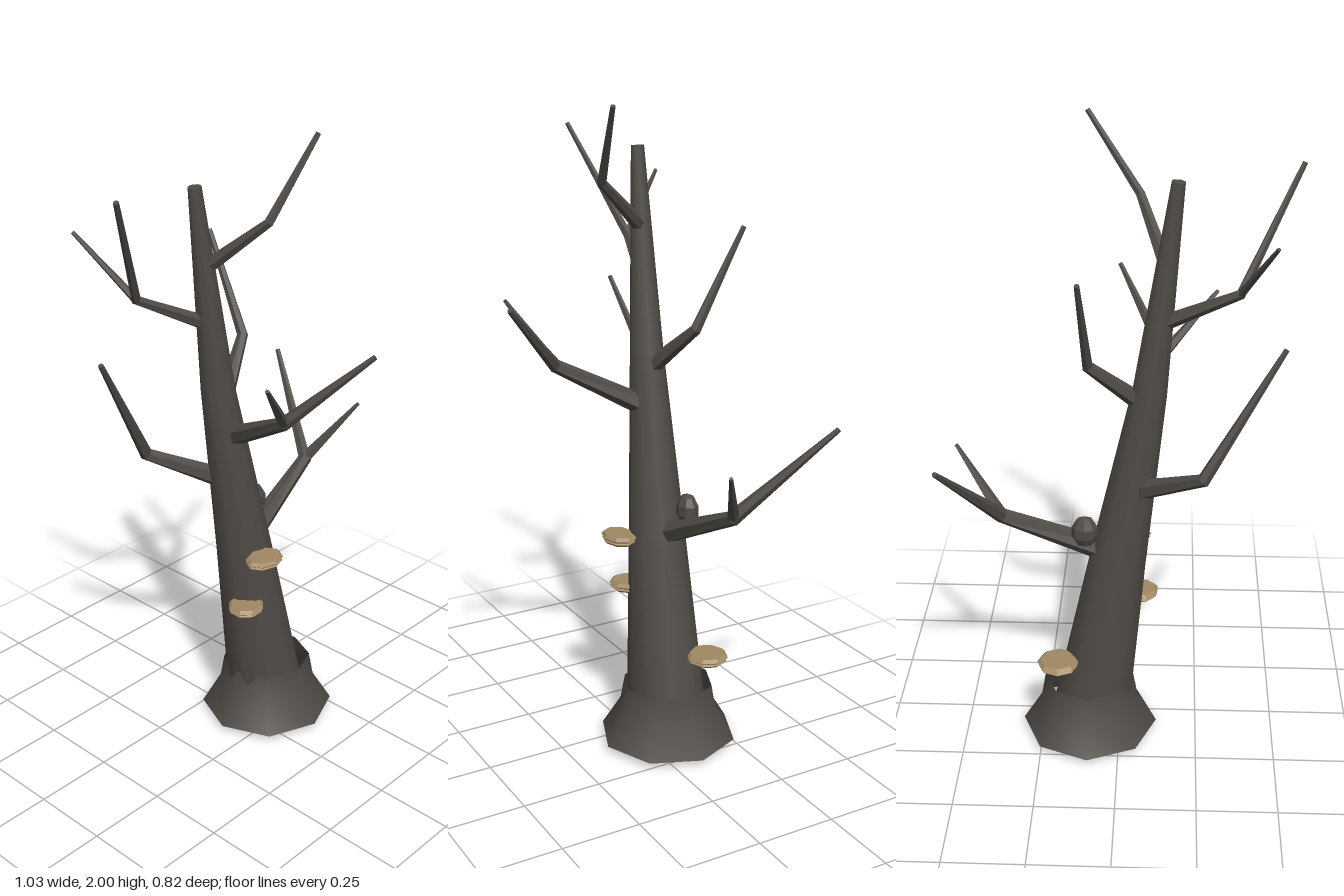
import * as THREE from 'three';

const bark = new THREE.MeshStandardMaterial({ color: 0x4f4b47, side: THREE.DoubleSide });
bark.name = 'bark';
const fungus = new THREE.MeshStandardMaterial({ color: 0xa08862 });
fungus.name = 'fungus';

const UP = new THREE.Vector3(0, 1, 0);

// Tapered limb swept along points, with a radius for each point
function limb(points, radii, sides, { flat = true, capStart = true } = {}) {
  const pts = points.map((p) => new THREE.Vector3(...p));
  const pos = [];
  const index = [];
  const last = pts.length - 1;
  pts.forEach((p, i) => {
    const dir = new THREE.Vector3();
    if (i > 0) dir.add(p.clone().sub(pts[i - 1]).normalize());
    if (i < last) dir.add(pts[i + 1].clone().sub(p).normalize());
    const q = new THREE.Quaternion().setFromUnitVectors(UP, dir.normalize());
    for (let j = 0; j < sides; j++) {
      const a = (j / sides) * Math.PI * 2;
      const v = new THREE.Vector3(Math.sin(a), 0, Math.cos(a)).multiplyScalar(radii[i]);
      pos.push(...v.applyQuaternion(q).add(p).toArray());
    }
  });
  for (let i = 0; i < last; i++) {
    for (let j = 0; j < sides; j++) {
      const a = i * sides + j;
      const b = i * sides + ((j + 1) % sides);
      index.push(a, b, a + sides, b, b + sides, a + sides);
    }
  }
  // End caps have their own vertices so that their rims stay sharp
  const cap = (ring, flip) => {
    const start = pos.length / 3;
    pos.push(...pos.slice(ring * sides * 3, (ring + 1) * sides * 3));
    for (let j = 1; j < sides - 1; j++) {
      if (flip) index.push(start, start + j + 1, start + j);
      else index.push(start, start + j, start + j + 1);
    }
  };
  cap(last, false);
  if (capStart) cap(0, true);

  let geo = new THREE.BufferGeometry();
  geo.setAttribute('position', new THREE.Float32BufferAttribute(pos, 3));
  geo.setIndex(index);
  if (flat) geo = geo.toNonIndexed();
  geo.computeVertexNormals();
  return geo;
}

function add(parent, name, geo, material) {
  const mesh = new THREE.Mesh(geo, material);
  mesh.name = name;
  parent.add(mesh);
  return mesh;
}

// Each branch bends once; some split at the bend
const BRANCHES = [
  { name: 'lowBranch', r: 0.036, start: [0.06, 0.69, -0.1], bend: [0.355, 0.825, -0.146], tip: [0.505, 1.1, -0.405], fork: [0.5, 1.01, -0.04] },
  { name: 'rightBranch', r: 0.032, start: [-0.07, 0.92, -0.14], bend: [-0.25, 1.02, -0.262], tip: [-0.475, 1.4, -0.187] },
  { name: 'frontBranch', r: 0.032, start: [-0.065, 1.085, -0.06], bend: [-0.127, 1.22, 0.19], tip: [0.015, 1.44, 0.4], fork: [-0.293, 1.4, 0.277] },
  { name: 'leftBranch', r: 0.027, start: [-0.055, 1.2, -0.11], bend: [0.088, 1.335, -0.175], tip: [0.105, 1.635, -0.328] },
  { name: 'highBranch', r: 0.023, start: [-0.13, 1.45, -0.12], bend: [-0.34, 1.56, -0.178], tip: [-0.508, 1.9, -0.053], fork: [-0.427, 1.745, -0.333] },
  { name: 'topBranch', r: 0.023, start: [-0.13, 1.62, -0.108], bend: [-0.055, 1.77, 0.065], tip: [0.098, 2.0, 0.11] },
];

export function createModel() {
  const tree = new THREE.Group();
  tree.name = 'deadTree';

  // Leaning hollow trunk
  add(tree, 'trunk', limb(
    [[0.1, 0.02, -0.08], [0.003, 0.66, -0.094], [-0.09, 1.23, -0.108], [-0.163, 1.86, -0.115]],
    [0.132, 0.09, 0.053, 0.02], 10, { flat: false, capStart: false }), bark);

  // Flared root collar, open at both ends
  const flare = [[0.218, 0.02], [0.157, 0.12], [0.143, 0.2]].map((p) => new THREE.Vector2(...p));
  add(tree, 'rootFlare', new THREE.LatheGeometry(flare, 8), bark).position.set(0.098, 0, -0.082);

  for (const { name, r, start, bend, tip, fork } of BRANCHES) {
    const branch = new THREE.Group();
    branch.name = name;
    add(branch, name + 'Limb', limb([start, bend, tip], [r, r * 0.65, 0.008], 6), bark);
    if (fork) add(branch, name + 'Fork', limb([bend, fork], [r * 0.55, 0.006], 5), bark);
    tree.add(branch);
  }

  // Knot on the trunk
  const knot = add(tree, 'knot', new THREE.SphereGeometry(1, 8, 5).toNonIndexed(), bark);
  knot.geometry.computeVertexNormals();
  knot.scale.set(0.042, 0.052, 0.034);
  knot.position.set(0.104, 0.772, -0.143);

  // Shelf fungi with a grooved rim
  const rim = [[0, -1], [0.8, -0.8], [0.95, -0.3], [0.86, 0], [1, 0.4], [0.85, 1], [0, 1]];
  const shelfGeo = new THREE.LatheGeometry(rim.map((p) => new THREE.Vector2(...p)), 8).toNonIndexed();
  shelfGeo.computeVertexNormals();
  const shelves = [
    [-0.03, 0.665, 0.025, 0.068, 0.052],
    [-0.062, 0.485, -0.025, 0.062, 0.058],
    [0.192, 0.3, -0.168, 0.067, 0.067],
  ];
  shelves.forEach(([x, y, z, rx, rz], i) => {
    const shelf = add(tree, 'shelfFungus' + (i + 1), shelfGeo, fungus);
    shelf.position.set(x, y, z);
    shelf.scale.set(rx, 0.016, rz);
    shelf.rotation.y = i * 0.4;
  });

  return tree;
}
